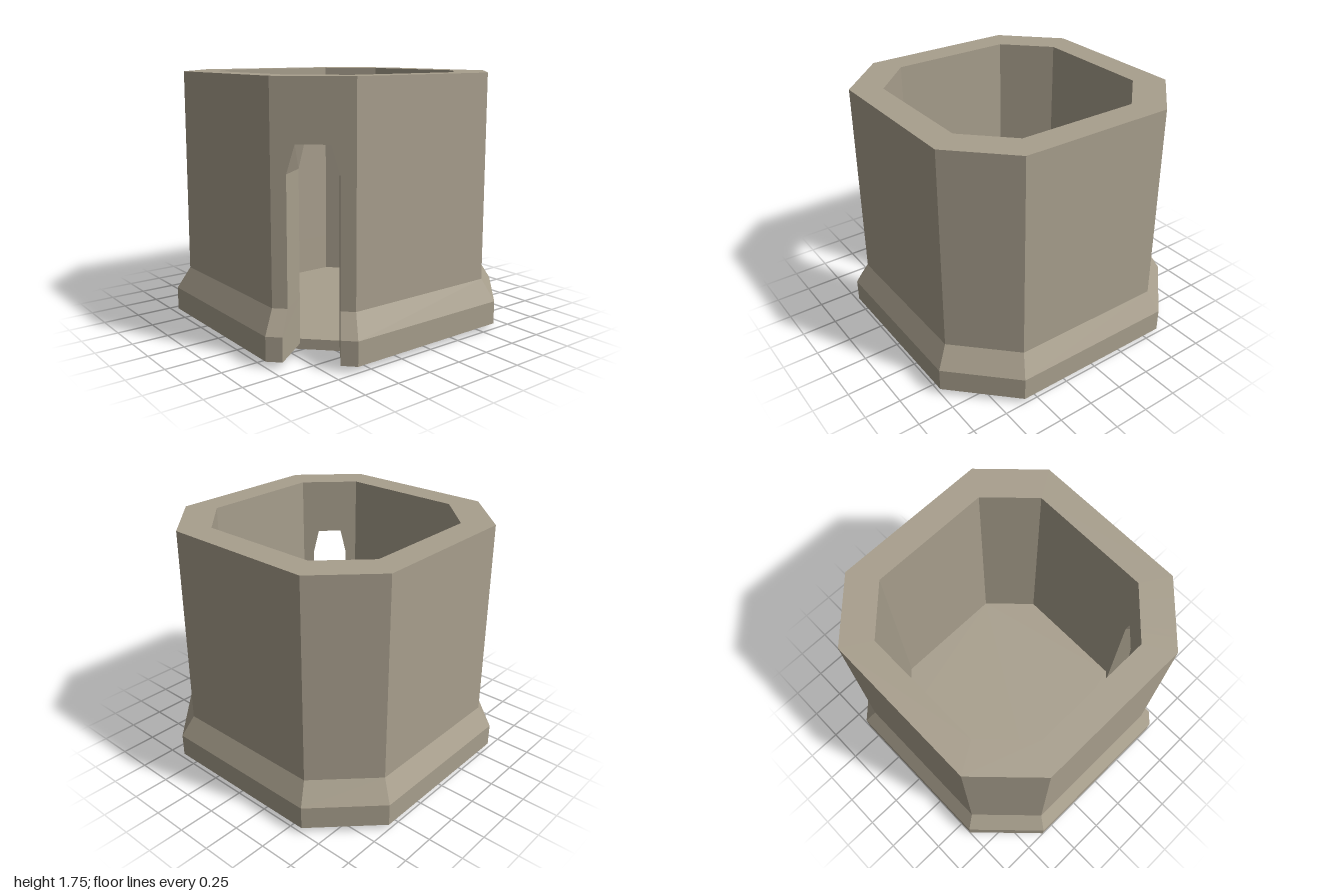
import * as THREE from 'three';

const TOP = 1.755, BASE = 0.04, SPRING = 1.18, CROWN = 1.36, DOOR_SIDE = 1;
const INNER = { h: 0.72, c: 0.43 };
// outer profile: [height, half width, corner offset]
const PROFILE = [[BASE, 1, 0.6], [0.2, 1, 0.6], [0.35, 0.918, 0.552], [TOP, 0.912, 0.548]];

const corners = (h, c) => [[h, -c], [h, c], [c, h], [-c, h], [-h, c], [-h, -c], [-c, -h], [c, -h]];

// point at fraction f along one side of a chamfered square
function sidePoint(h, c, side, f, y) {
  const list = corners(h, c), a = list[side], b = list[(side + 1) % 8];
  return [a[0] + (b[0] - a[0]) * f, y, a[1] + (b[1] - a[1]) * f];
}
const inner = (side, f, y) => sidePoint(INNER.h, INNER.c, side, f, y);
function outer(side, f, y) {
  let i = 0;
  while (i < PROFILE.length - 2 && y > PROFILE[i + 1][0]) i++;
  const [y0, h0, c0] = PROFILE[i], [y1, h1, c1] = PROFILE[i + 1];
  const t = (y - y0) / (y1 - y0);
  return sidePoint(h0 + (h1 - h0) * t, c0 + (c1 - c0) * t, side, f, y);
}

function buildWall() {
  const pos = [];
  const quad = (a, b, c, d) => pos.push(...a, ...b, ...c, ...a, ...c, ...d);

  // closed stretch of wall from fraction fa to fb, with underside heights ya and yb
  function column(side, fa, fb, ya, yb) {
    const mids = [0.2, 0.35].filter((y) => y > Math.max(ya, yb));
    const la = [ya, ...mids, TOP], lb = [yb, ...mids, TOP];
    for (let i = 0; i < la.length - 1; i++) {
      quad(outer(side, fb, lb[i]), outer(side, fa, la[i]), outer(side, fa, la[i + 1]), outer(side, fb, lb[i + 1]));
      quad(inner(side, fa, la[i]), inner(side, fb, lb[i]), inner(side, fb, lb[i + 1]), inner(side, fa, la[i + 1]));
    }
    quad(outer(side, fb, TOP), outer(side, fa, TOP), inner(side, fa, TOP), inner(side, fb, TOP));
    quad(outer(side, fa, ya), outer(side, fb, yb), inner(side, fb, yb), inner(side, fa, ya));
  }

  for (let side = 0; side < 8; side++) {
    if (side !== DOOR_SIDE) column(side, 0, 1, BASE, BASE);
  }

  // side with the doorway: two piers and a three-part lintel
  const f1 = 0.187, f2 = 1 - f1, g1 = 0.29, g2 = 1 - g1;
  column(DOOR_SIDE, 0, f1, BASE, BASE);
  column(DOOR_SIDE, f1, g1, SPRING, CROWN);
  column(DOOR_SIDE, g1, g2, CROWN, CROWN);
  column(DOOR_SIDE, g2, f2, CROWN, SPRING);
  column(DOOR_SIDE, f2, 1, BASE, BASE);

  // door jambs
  const levels = [BASE, 0.2, 0.35, SPRING];
  for (let i = 0; i < 3; i++) {
    const strip = (f) => [
      inner(DOOR_SIDE, f, levels[i]), outer(DOOR_SIDE, f, levels[i]),
      outer(DOOR_SIDE, f, levels[i + 1]), inner(DOOR_SIDE, f, levels[i + 1])];
    quad(...strip(f1));
    quad(...strip(f2).reverse());
  }

  const geo = new THREE.BufferGeometry();
  geo.setAttribute('position', new THREE.Float32BufferAttribute(pos, 3));
  geo.computeVertexNormals();
  return geo;
}

function buildFloor() {
  const shape = new THREE.Shape(corners(INNER.h, INNER.c).map(([x, z]) => new THREE.Vector2(x, z)));
  return new THREE.ExtrudeGeometry(shape, { depth: 0.07, bevelEnabled: false }).rotateX(-Math.PI / 2);
}

export function createModel() {
  const model = new THREE.Group();
  model.name = 'octagonalTower';
  const stone = new THREE.MeshStandardMaterial({ color: 0xa89f8d });
  stone.name = 'stone';
  stone.flatShading = true;

  const wall = new THREE.Mesh(buildWall(), stone);
  wall.name = 'wallWithDoorway';
  const floor = new THREE.Mesh(buildFloor(), stone);
  floor.name = 'floorPlate';
  model.add(wall, floor);
  return model;
}
